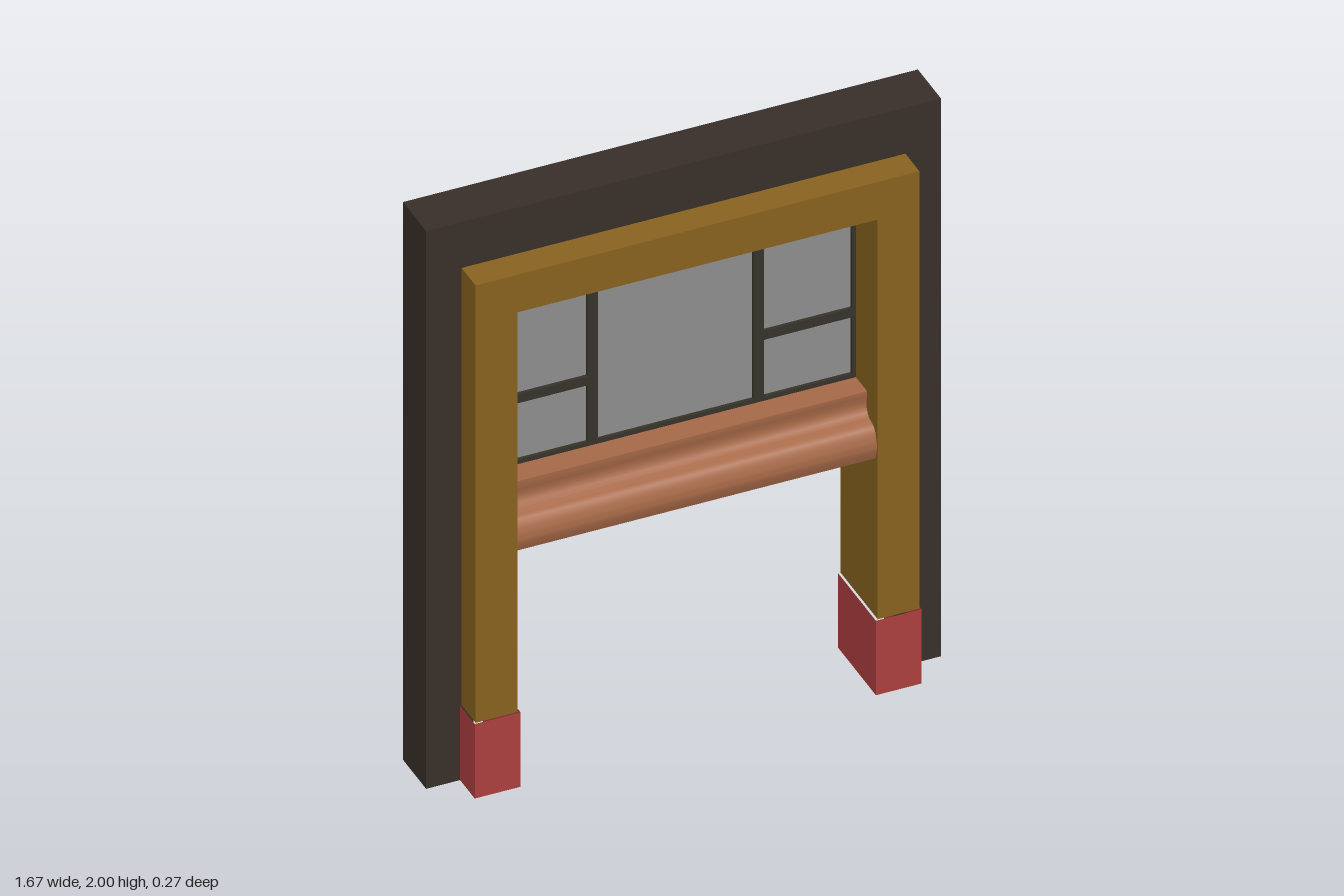
import * as THREE from 'three';
import { toCreasedNormals } from 'three/addons/utils/BufferGeometryUtils.js';

const paint = (color) => new THREE.MeshStandardMaterial({ color, side: THREE.DoubleSide });
const BACK = -0.135;

export function createModel() {
  const model = new THREE.Group();
  const dark = paint(0x3a302a), wood = paint(0x8b6420), red = paint(0xb04040);
  const clay = paint(0xa86a48), metal = paint(0x38342b), pane = paint(0x909090);

  const add = (parent, name, geometry, material) => {
    const mesh = new THREE.Mesh(geometry, material);
    mesh.name = name;
    parent.add(mesh);
    return mesh;
  };
  const group = (name) => {
    const g = new THREE.Group();
    g.name = name;
    model.add(g);
    return g;
  };

  // Thin sheet: a 2D path swept from lo to hi; place(a, b, t) gives the 3D point
  const sheet = (path, lo, hi, place) => {
    const geo = new THREE.PlaneGeometry(1, 1, 1, path.length - 1);
    const pos = geo.attributes.position;
    for (let i = 0; i < pos.count; i++) {
      const [a, b] = path[Math.floor(i / 2)];
      pos.setXYZ(i, ...place(a, b, i % 2 ? hi : lo));
    }
    return toCreasedNormals(geo, 0.6);
  };
  const wall = (path, z0, z1) => sheet(path, z0, z1, (x, y, z) => [x, y, z]);

  // Path up one side, across the top and down the other
  const arch = (x, top, bottom) => [[-x, bottom], [-x, top], [x, top], [x, bottom]];
  const archFace = (outer, inner, z) => {
    const points = [...outer, ...inner.slice().reverse()].map(([x, y]) => new THREE.Vector2(x, y));
    return new THREE.ShapeGeometry(new THREE.Shape(points)).translate(0, 0, z);
  };

  // Outer surround, open at the back
  const surround = group('surround');
  const outerEdge = arch(0.833, 2, 0);
  add(surround, 'surroundFace', archFace(outerEdge, arch(0.68, 1.795, 0), 0.03), dark);
  add(surround, 'surroundEdge', wall(outerEdge, BACK, 0.03), dark);

  // Wooden casing, hollow and open at the back
  const casing = group('casing');
  const casingOuter = arch(0.718, 1.835, 0.267), casingInner = arch(0.583, 1.7, 0.267);
  add(casing, 'casingFace', archFace(casingOuter, casingInner, 0.13), wood);
  add(casing, 'casingOuterWall', wall(casingOuter, BACK, 0.13), wood);
  add(casing, 'casingInnerWall', wall(casingInner, BACK, 0.13), wood);

  // Base blocks: three-sided shells around the casing feet
  for (const side of [-1, 1]) {
    const plan = [[0.575, BACK], [0.575, 0.135], [0.723, 0.135], [0.723, BACK]];
    add(model, side > 0 ? 'leftBase' : 'rightBase',
      sheet(plan, 0, 0.267, (x, z, y) => [side * x, y, z]), red);
  }

  // Moulded sill: ledge, cove, rounded nose and flat underside, as [z, y]
  const nose = new THREE.SplineCurve([[0.07, 0.95], [0.105, 0.938], [0.122, 0.9], [0.124, 0.87], [0.115, 0.835]]
    .map(([z, y]) => new THREE.Vector2(z, y))).getPoints(12).map((p) => [p.x, p.y]);
  const cove = [[0.055, 1.02], [0.05, 1.0], [0.05, 0.98], [0.057, 0.962]];
  const sill = [[-0.042, 1.037], [0.055, 1.037], ...cove, ...nose, [BACK, 0.835]];
  add(model, 'sill', sheet(sill, -0.587, 0.587, (z, y, x) => [x, y, z]), clay);

  // Window: bars and glass
  const windowGroup = group('window');
  const bar = (name, x0, x1, y0, y1) => add(windowGroup, name,
    new THREE.BoxGeometry(x1 - x0, y1 - y0, 0.02)
      .translate((x0 + x1) / 2, (y0 + y1) / 2, -0.036), metal);
  bar('topRail', -0.583, 0.583, 1.685, 1.7);
  bar('bottomRail', -0.583, 0.583, 1.037, 1.052);
  for (const s of [-1, 1]) {
    const mirrored = (name, a, b, y0, y1) =>
      bar(name, Math.min(s * a, s * b), Math.max(s * a, s * b), y0, y1);
    mirrored('stile', 0.57, 0.583, 1.052, 1.685);
    mirrored('mullion', 0.252, 0.285, 1.052, 1.685);
    mirrored('transom', 0.285, 0.57, 1.255, 1.287);
  }
  add(windowGroup, 'glass', new THREE.PlaneGeometry(1.16, 0.655).translate(0, 1.368, -0.037), pane);

  return model;
}
